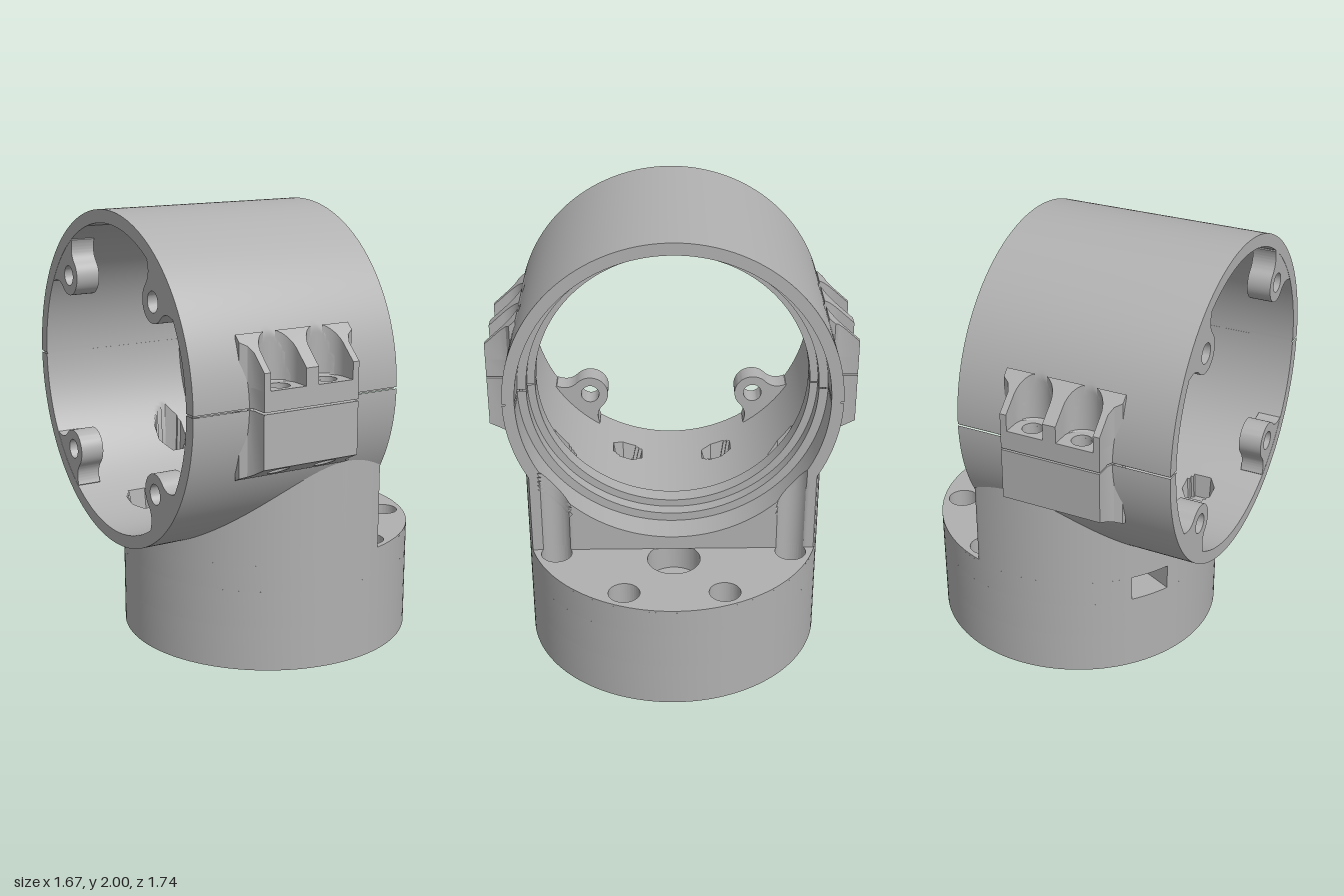
import * as THREE from 'three';
import { toCreasedNormals } from 'three/addons/utils/BufferGeometryUtils.js';

const grey = new THREE.MeshStandardMaterial({ color: 0xb0b0b0 });
grey.name = 'plain grey';

const AXIS_Y = 1.255, R = 0.745, BORE = 0.687;   // clamp tube
const BASE_U = 0.306, BASE_R = 0.675;            // base centre along the tube axis
const EAR_W = 0.84, BOLT_U = 0.115, BOLT_W = 0.77;
const rad = THREE.MathUtils.degToRad;

function add(parent, name, geo, crease = 0.5) {
  const mesh = new THREE.Mesh(toCreasedNormals(geo, crease), grey);
  mesh.name = name;
  parent.add(mesh);
  return mesh;
}

const shapeOf = (pts) => new THREE.Shape(pts.map(([x, y]) => new THREE.Vector2(x, y)));

function drill(shape, x, y, r) {
  shape.holes.push(new THREE.Path().absarc(x, y, r, 0, Math.PI * 2, true));
}

// extrude a plan outline (x, z) between two heights
function slab(shape, y0, y1, segs = 16) {
  const geo = new THREE.ExtrudeGeometry(shape, { depth: y1 - y0, bevelEnabled: false, curveSegments: segs });
  return geo.rotateX(Math.PI / 2).translate(0, y1, 0);
}

function moveVertices(geo, rule) {
  const p = geo.attributes.position, v = new THREE.Vector3();
  for (let i = 0; i < p.count; i++) {
    rule(v.fromBufferAttribute(p, i));
    p.setXYZ(i, v.x, v.y, v.z);
  }
  geo.computeVertexNormals();
  return geo;
}

// screw positions around the base, in tube coordinates
const screw = (deg) => [BASE_U + 0.58 * Math.cos(rad(deg)), 0.58 * Math.sin(rad(deg))];
const wallScrews = [112.5, 157.5].map(screw);
const [GROOVE_U, GROOVE_W] = screw(67.5);
const GROOVE_R = 0.07;

// cut-outs applied to the tube surface; y is measured from the tube axis
function carve(v, isOuter, isBore) {
  const side = Math.sign(v.z), w = Math.abs(v.z);
  if (isOuter) { // bolt holes and screw-head scoops beside the ears
    const du = Math.abs(Math.abs(v.x) - BOLT_U);
    const r = v.y > 0.085 ? 0.085 : 0.045;
    if (du < r && v.y > -0.33 && v.y < 0.4) v.z = side * Math.min(w, BOLT_W - Math.sqrt(r * r - du * du));
  }
  if (v.y < 0) { // vertical grooves in the front edge
    const dw = w - GROOVE_W;
    if (Math.abs(dw) < GROOVE_R) v.x = Math.min(v.x, GROOVE_U - Math.sqrt(GROOVE_R ** 2 - dw * dw));
    if (isBore) { // screw wells through the bore floor
      for (const [su, sw] of wallScrews) {
        if (Math.hypot(v.x - su, w - sw) < 0.07) v.y = 0.52 - AXIS_Y;
      }
    }
  }
}

// half of the clamp tube, swept around the axis from a closed wall profile
function halfTube(start) {
  const corners = [[-0.5, R], [0.5, R], [0.5, 0.69], [0.36, 0.69], [0.36, 0.65], [0.30, 0.65],
    [0.30, 0.615], [0.22, 0.615], [0.22, BORE], [-0.5, BORE], [-0.5, R]];
  const prof = [];
  for (let k = 0; k < corners.length - 1; k++) {
    const [u0, r0] = corners[k], [u1, r1] = corners[k + 1];
    const n = Math.ceil(Math.hypot(u1 - u0, r1 - r0) / 0.0125);
    for (let i = 0; i <= n; i++) prof.push([u0 + (u1 - u0) * i / n, r0 + (r1 - r0) * i / n, k]);
  }
  const N = 128, gap = 0.005, pos = [], idx = [], v = new THREE.Vector3();
  for (let j = 0; j <= N; j++) {
    const a = start + gap + (Math.PI - 2 * gap) * j / N;
    for (const [u, r, k] of prof) {
      v.set(u, r * Math.sin(a), r * Math.cos(a));
      carve(v, k === 0, k === 8);
      pos.push(v.x, v.y + AXIS_Y, v.z);
    }
  }
  const M = prof.length;
  for (let j = 0; j < N; j++) {
    for (let i = 0; i < M - 1; i++) {
      if (prof[i][2] !== prof[i + 1][2]) continue;
      const a = j * M + i, b = a + 1, c = a + M, d = c + 1;
      idx.push(a, b, c, b, d, c);
    }
  }
  const geo = new THREE.BufferGeometry();
  geo.setAttribute('position', new THREE.Float32BufferAttribute(pos, 3));
  geo.setIndex(idx);
  geo.computeVertexNormals();
  return geo;
}

// bolted clamp ear on the +z side
function makeEar() {
  const ear = new THREE.Group();
  const flank = [[0.275, 0.69], [0.275, 0.72], [0.245, 0.737], [0.23, 0.765], [0.23, EAR_W]];
  const flip = (pts) => pts.map(([x, y]) => [-x, y]);
  const block = shapeOf([...flank, ...flip(flank).reverse()]);
  for (const s of [-1, 1]) drill(block, s * BOLT_U, BOLT_W, 0.045);

  add(ear, 'earLowerBlock', moveVertices(slab(block, 1.02, 1.251), (v) => {
    if (v.y < 1.03) v.y -= (EAR_W - v.z) * 0.5;
  }));
  add(ear, 'earUpperBlock', slab(block, 1.259, 1.345));

  // ribs left standing around the screw-head scoops
  const arc = (from, to) => Array.from({ length: 9 }, (_, i) => {
    const a = from + (to - from) * i / 8;
    return [BOLT_U + 0.085 * Math.cos(a), BOLT_W + 0.085 * Math.sin(a)];
  });
  const inner = [[0.03, EAR_W], ...arc(Math.PI, Math.PI + 1.226)];
  const outer = [[0.2, EAR_W], ...arc(0, -1.226), ...flank];
  for (const pts of [[...inner, ...flip(inner).reverse()], outer, flip(outer)]) {
    add(ear, 'earRib', moveVertices(slab(shapeOf(pts), 1.345, 1.42), (v) => {
      if (v.y > 1.41) v.y += (EAR_W - v.z) * 0.9;
    }));
  }
  return ear;
}

// screw lug inside the rear end of the tube
function lugGeometry() {
  const s = new THREE.Shape();
  s.moveTo(0.665, -0.15);
  s.lineTo(0.70, -0.15);
  s.lineTo(0.70, 0.15);
  s.lineTo(0.665, 0.15);
  s.quadraticCurveTo(0.64, 0.09, 0.58, 0.09);
  s.absarc(0.58, 0, 0.09, Math.PI / 2, Math.PI * 1.5, false);
  s.quadraticCurveTo(0.64, -0.09, 0.665, -0.15);
  drill(s, 0.58, 0, 0.045);
  return new THREE.ExtrudeGeometry(s, { depth: 0.11, bevelEnabled: false, curveSegments: 16 })
    .rotateY(Math.PI / 2).translate(-0.499, 0, 0);
}

// round base in layers: solid foot, screw holes, counterbores with a side slot
function makeBase() {
  const base = new THREE.Group();
  const layer = (y0, y1, holeR, slot) => {
    const s = new THREE.Shape();
    if (slot) {
      s.absarc(0, 0, BASE_R, rad(222), rad(206 + 360), false);
      for (const a of [206, 222]) s.lineTo(0.5 * Math.cos(rad(a)), 0.5 * Math.sin(rad(a)));
    } else s.absarc(0, 0, BASE_R, 0, Math.PI * 2, false);
    if (holeR) for (const d of [-67.5, -22.5, 22.5, 67.5]) drill(s, 0.58 * Math.cos(rad(d)), 0.58 * Math.sin(rad(d)), holeR);
    if (holeR > 0.05) drill(s, 0.274, 0, 0.12);
    add(base, 'baseLayer', slab(s, y0, y1, 64));
  };
  layer(0, 0.2, 0, false);
  layer(0.2, 0.37, 0.04, false);
  layer(0.37, 0.49, 0.07, true);
  layer(0.49, 0.5, 0.07, false);
  base.position.x = BASE_U;
  return base;
}

// wall rising from the base into the underside of the tube
function columnGeometry() {
  const face = 0.498, end = Math.acos((face - BASE_U) / BASE_R);
  const g = Math.acos((face - GROOVE_U) / GROOVE_R);
  const s = new THREE.Shape();
  s.absarc(BASE_U, 0, BASE_R, end, Math.PI * 2 - end, false);
  s.absarc(GROOVE_U, -GROOVE_W, GROOVE_R, -g, -(Math.PI * 2 - g), true);
  s.absarc(GROOVE_U, GROOVE_W, GROOVE_R, Math.PI * 2 - g, g, true);
  s.closePath();
  const pts = s.getSpacedPoints(400), pos = [], idx = [];
  pts.forEach(({ x, y: w }, i) => {
    pos.push(x, 0.499, w, x, AXIS_Y - Math.sqrt(0.716 ** 2 - w * w), w);
    const a = 2 * i;
    if (i) idx.push(a - 2, a - 1, a, a - 1, a + 1, a);
  });
  const geo = new THREE.BufferGeometry();
  geo.setAttribute('position', new THREE.Float32BufferAttribute(pos, 3));
  geo.setIndex(idx);
  geo.computeVertexNormals();
  return geo;
}

export function createModel() {
  const model = new THREE.Group();
  model.name = 'tubeClampMount';
  const body = new THREE.Group();
  body.name = 'body';
  body.position.set(-0.13, 0, -0.005);
  body.rotation.y = -rad(18);
  model.add(body);

  add(body, 'upperTubeHalf', halfTube(0));
  add(body, 'lowerTubeHalf', halfTube(Math.PI));
  for (const s of [-1, 1]) {
    add(body, 'seamFiller', new THREE.BoxGeometry(0.99, 0.012, 0.04).translate(0, AXIS_Y, s * 0.711).toNonIndexed());
    const ear = makeEar();
    ear.name = s > 0 ? 'frontEar' : 'backEar';
    if (s < 0) ear.rotation.y = Math.PI;
    body.add(ear);
  }
  for (let k = 0; k < 4; k++) {
    const lug = add(body, 'screwLug', lugGeometry());
    lug.position.y = AXIS_Y;
    lug.rotation.x = Math.PI / 4 + k * Math.PI / 2;
  }

  const base = makeBase();
  base.name = 'base';
  body.add(base);
  add(body, 'column', columnGeometry()).material = grey;
  return model;
}
